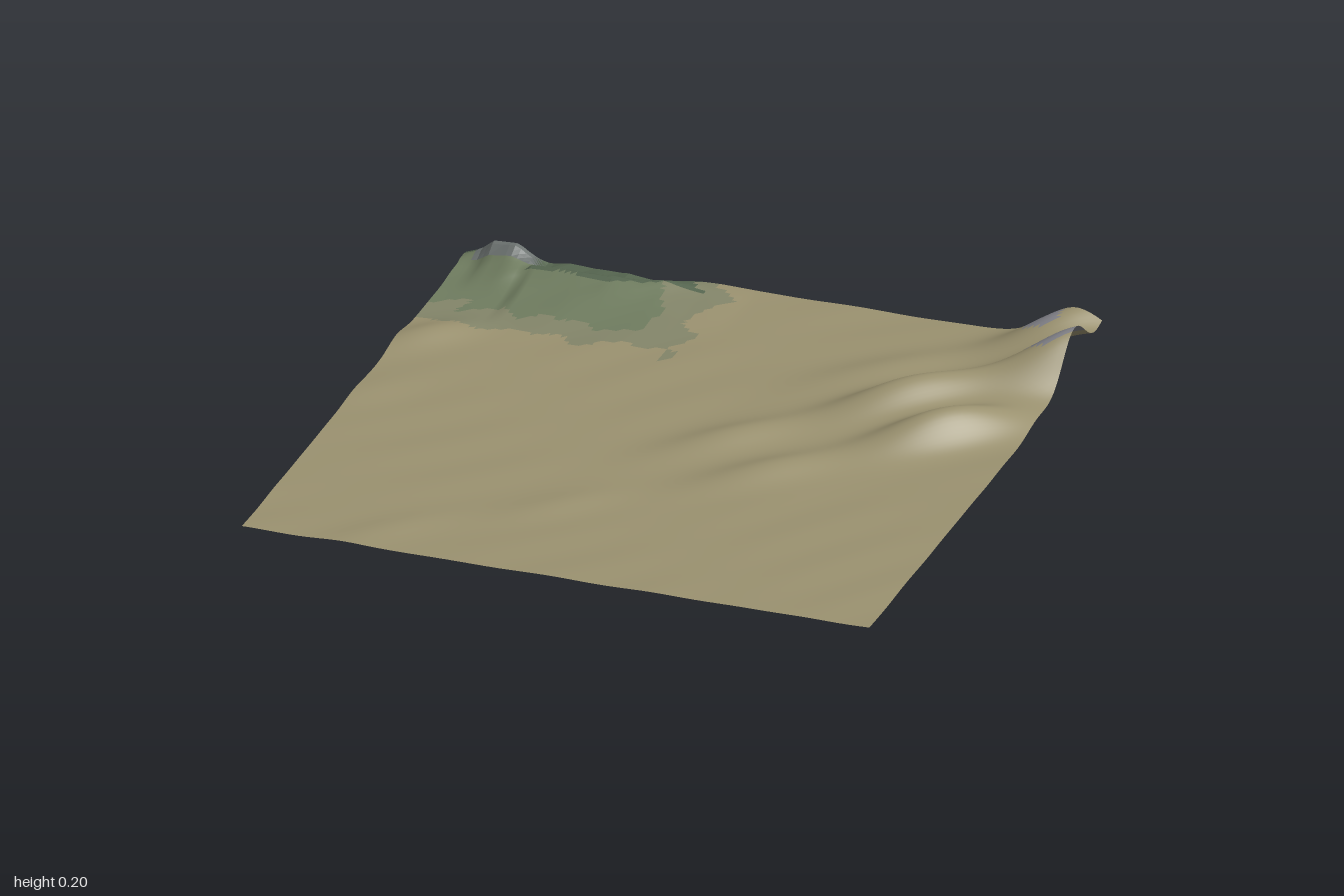
import * as THREE from 'three';

const N = 110; // cells per side
const gauss = (d, w) => Math.exp(-(d * d) / (w * w));
const smooth = THREE.MathUtils.smoothstep;

// Repeatable value per lattice point, 0..1
const hash = (i, j) => {
  const v = Math.sin(i * 127.1 + j * 311.7) * 43758.5453;
  return v - Math.floor(v);
};

// Straight-line noise on a lattice, giving faceted lumps
function lumps(x, z, size) {
  const i = Math.floor(x / size), j = Math.floor(z / size);
  const u = x / size - i, v = z / size - j;
  const a = hash(i, j), b = hash(i + 1, j), c = hash(i, j + 1), d = hash(i + 1, j + 1);
  return u + v < 1 ? a + (b - a) * u + (c - a) * v : d + (c - d) * (1 - u) + (b - d) * (1 - v);
}

// Dune mounds: position along and across the diagonal, height, lengths
const mounds = [
  [0.17, 0.10, 0.032, 0.22, 0.08], [0.17, 0.35, 0.033, 0.22, 0.08],
  [0.73, 0.12, 0.092, 0.27, 0.10], [0.73, 0.35, 0.092, 0.25, 0.09],
  [1.27, 0.17, 0.172, 0.27, 0.11], [1.36, -0.06, 0.115, 0.24, 0.10],
  [0.75, -0.11, 0.025, 0.3, 0.10],
  [-0.38, -0.92, 0.025, 0.16, 0.07], [-0.5, 0.28, 0.01, 0.2, 0.07],
  [-1.05, 0.2, 0.009, 0.2, 0.07], [-0.72, -0.65, 0.008, 0.16, 0.08],
];

// Crest of the rocky bank: x, height above the plain
const crest = [[-1, 0.02], [-0.95, 0.03], [-0.91, 0.068], [-0.83, 0.076], [-0.77, 0.036],
  [-0.6, 0.041], [-0.5, 0.036], [-0.35, 0.031], [-0.24, 0.012], [-0.1, 0]];

function crestHeight(x) {
  for (let i = 1; i < crest.length; i++) {
    const [x0, h0] = crest[i - 1], [x1, h1] = crest[i];
    if (x <= x1) return h0 + (h1 - h0) * (x - x0) / (x1 - x0);
  }
  return 0;
}
const crestZ = (x) => (x < -0.77 ? -0.92 : -0.86 - 0.08 * smooth(x, -0.6, -0.2));

function height(x, z) {
  const s = (x - z) / Math.SQRT2, t = (x + z) / Math.SQRT2;
  let y = 0.022 + 0.005 * x;
  // Fine wind ripples
  y += 0.0016 * Math.sin(t * 27 + 1.5 * Math.sin(s * 3)) * Math.sin(s * 4 + 1);
  for (const [ms, mt, h, ls, lt] of mounds) y += h * gauss(s - ms, ls) * gauss(t - mt, lt);
  // Rocky bank: long slope to the front, steep broken drop behind
  const d = z - crestZ(x), c = crestHeight(x);
  if (d >= 0) {
    const reach = x < -0.77 ? 0.24 : 0.36;
    y += c * Math.pow(Math.max(0, 1 - d / reach), 1.4);
  } else {
    const k = Math.min(1, -d / 0.09);
    y += c * (1 - k) - 0.014 * k * smooth(-x, 0.2, 0.4);
  }
  const rough = smooth(-x, 0.2, 0.5) * smooth(-z, 0.72, 0.86);
  y += rough * 0.022 * (lumps(x, z, 0.085) - 0.6);
  return Math.max(0, y);
}

// Which ground covers a cell
function cover(x, z) {
  const wob = 0.1 * (lumps(x, z, 0.07) - 0.5);
  if (x < -0.77 && x > -0.96 && z < -0.87) return 'rock';
  if (x < -0.26 + wob && z < crestZ(x) + 0.02 + wob * 0.3) return 'darkBank';
  if (x < -0.32 + wob && z < -0.62 + wob * 1.5) return 'grass';
  if (x < -0.18 + wob && z < -0.49 + wob * 1.5) return 'thinGrass';
  const t = x + z;
  if (x > 0.86 && z < -0.68 && z > -0.86 && Math.abs(t - 0.2) < 0.06) return 'bareStone';
  if (x > 0.78 && x < 0.88 && z < -0.9 && Math.abs(t + 0.12) < 0.06) return 'bareStone';
  return 'sand';
}

const looks = {
  sand: [0x9b9270, false],
  thinGrass: [0x84866a, false],
  grass: [0x707d60, false],
  darkBank: [0x566650, true],
  rock: [0x6c7270, true],
  bareStone: [0x83838a, false],
};

export function createModel() {
  const group = new THREE.Group();
  group.name = 'terrain';

  // One height field gives shared smooth normals to every kind of ground
  const field = new THREE.PlaneGeometry(2, 2, N, N).rotateX(-Math.PI / 2);
  const pos = field.attributes.position;
  for (let i = 0; i < pos.count; i++) pos.setY(i, height(pos.getX(i), pos.getZ(i)));
  field.computeVertexNormals();

  // Sort the triangles by ground cover
  const faces = {};
  for (const name in looks) faces[name] = [];
  const index = field.index.array;
  for (let f = 0; f < index.length; f += 3) {
    const tri = [index[f], index[f + 1], index[f + 2]];
    const cx = tri.reduce((sum, i) => sum + pos.getX(i), 0) / 3;
    const cz = tri.reduce((sum, i) => sum + pos.getZ(i), 0) / 3;
    faces[cover(cx, cz)].push(...tri);
  }

  for (const [name, [color, flatShading]] of Object.entries(looks)) {
    const geometry = new THREE.BufferGeometry();
    geometry.setAttribute('position', pos);
    geometry.setAttribute('normal', field.attributes.normal);
    geometry.setIndex(faces[name]);
    const material = new THREE.MeshStandardMaterial({ color, flatShading, side: THREE.DoubleSide });
    const mesh = new THREE.Mesh(geometry, material);
    mesh.name = name;
    group.add(mesh);
  }
  return group;
}
